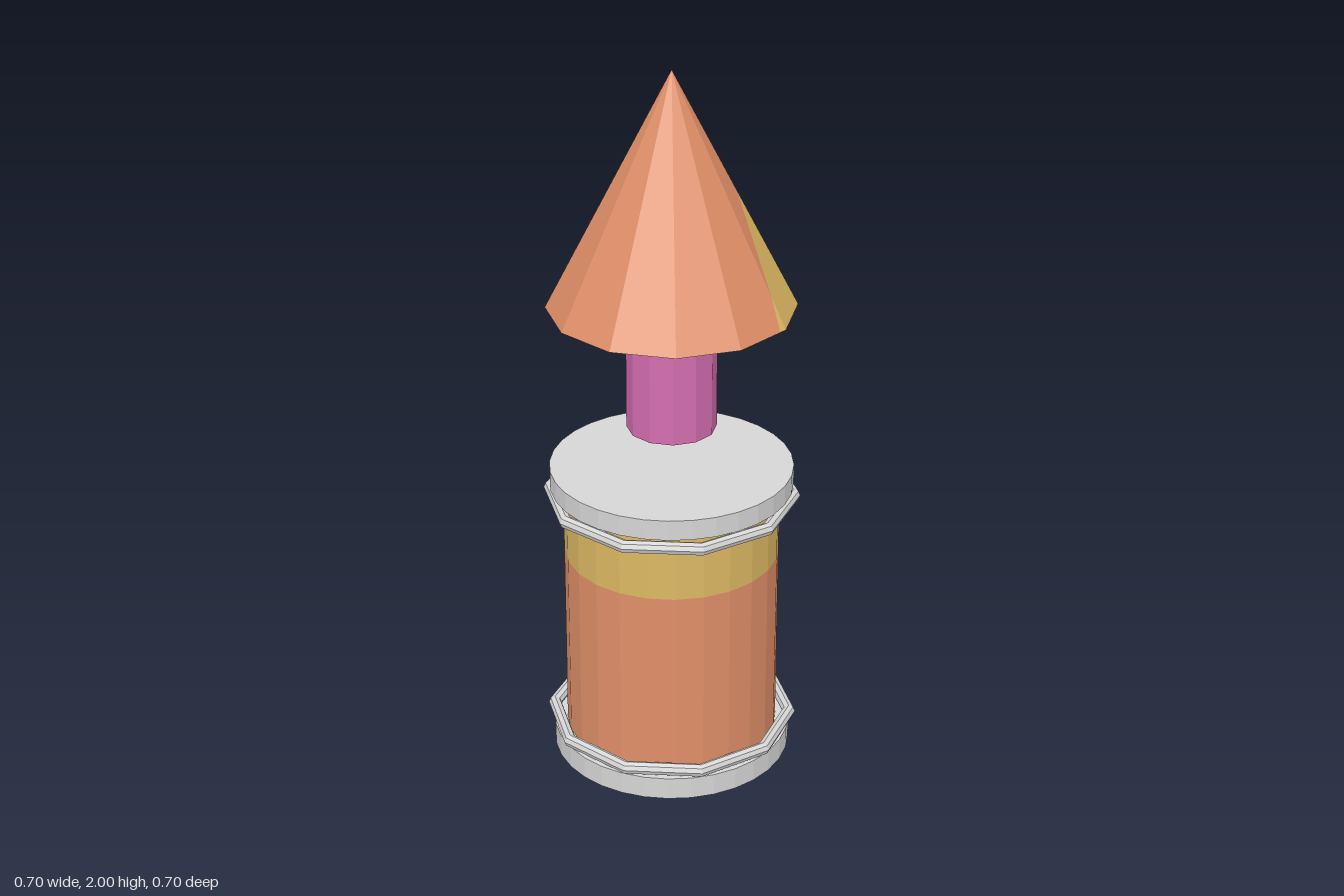
import * as THREE from 'three';

const paint = (name, color) => Object.assign(new THREE.MeshStandardMaterial({ color }), { name });

export function createModel() {
  const model = new THREE.Group();
  model.name = 'roofedDrum';
  const orange = paint('orange', 0xe08f68);
  const yellow = paint('yellow', 0xdcb863);
  const pink = paint('pink', 0xd46eb0);
  const red = paint('red', 0xd86470);
  const violet = paint('violet', 0xb470e0);
  const grey = paint('grey', 0xd6d6d6);

  // Faceted mesh: every face gets its own flat normal
  function add(name, geometry, material) {
    const geo = geometry.index ? geometry.toNonIndexed() : geometry;
    geo.computeVertexNormals();
    const mesh = new THREE.Mesh(geo, material);
    mesh.name = name;
    model.add(mesh);
    return mesh;
  }

  // Upright cylinder between two heights
  function drum(name, radius, y0, y1, sides, material, turn = 0) {
    const geo = new THREE.CylinderGeometry(radius, radius, y1 - y0, sides);
    geo.rotateY(turn).translate(0, (y0 + y1) / 2, 0);
    return add(name, geo, material);
  }

  // Barrel with its upper band, and the two end discs
  drum('bottomDisc', 0.335, 0, 0.065, 32, grey);
  drum('barrel', 0.298, 0.065, 0.615, 24, orange);
  drum('barrelBand', 0.298, 0.615, 0.817, 24, yellow);
  drum('topDisc', 0.335, 0.817, 0.875, 32, grey);

  // Ten-sided hoops near both ends
  for (const [name, y] of [['lowerHoop', 0.088], ['upperHoop', 0.787]]) {
    const hoop = new THREE.TorusGeometry(0.336, 0.018, 8, 10);
    hoop.rotateZ(-Math.PI / 20).rotateX(Math.PI / 2).translate(0, y, 0);
    add(name, hoop, grey);
  }

  // Round knob on the back
  const knob = new THREE.CylinderGeometry(0.0875, 0.0875, 0.03, 24);
  knob.rotateX(Math.PI / 2).translate(0, 0.402, -0.3);
  add('backKnob', knob, grey);

  // Post under the roof
  drum('post', 0.123, 0.99, 1.345, 12, pink, Math.PI / 12);

  // Keep the part of a convex polygon where side * (x - z - offset) >= 0
  function clip(poly, offset, side) {
    const dist = (p) => side * (p.x - p.z - offset);
    const out = [];
    poly.forEach((a, i) => {
      const b = poly[(i + 1) % poly.length];
      const da = dist(a), db = dist(b);
      if (da >= 0) out.push(a);
      if (da * db < 0) out.push(a.clone().lerp(b, da / (da - db)));
    });
    return out;
  }

  // Fan-triangulate a list of convex polygons
  function faces(polys) {
    const points = [];
    for (const p of polys) {
      for (let i = 1; i < p.length - 1; i++) points.push(p[0], p[i], p[i + 1]);
    }
    return new THREE.BufferGeometry().setFromPoints(points);
  }

  // Twelve-sided cone roof, colours divided along diagonal upright planes
  const split = 0.208;
  const apex = new THREE.Vector3(0, 2, 0);
  const rim = Array.from({ length: 12 }, (_, i) => {
    const a = (i + 0.5) * Math.PI / 6;
    return new THREE.Vector3(0.337 * Math.cos(a), 1.345, 0.337 * Math.sin(a));
  });
  const slopes = rim.map((p, i) => [apex, rim[(i + 1) % 12], p]);
  add('roof', faces(slopes.map((s) => clip(s, split, -1))), orange);
  add('roofPatch', faces(slopes.map((s) => clip(s, split, 1))), yellow);

  // Underside of the roof in three strips
  add('undersideBack', faces([clip(rim, split, 1)]), red);
  add('undersideMiddle', faces([clip(clip(rim, split, -1), -split, 1)]), pink);
  add('undersideFront', faces([clip(rim, -split, -1)]), violet);

  return model;
}
